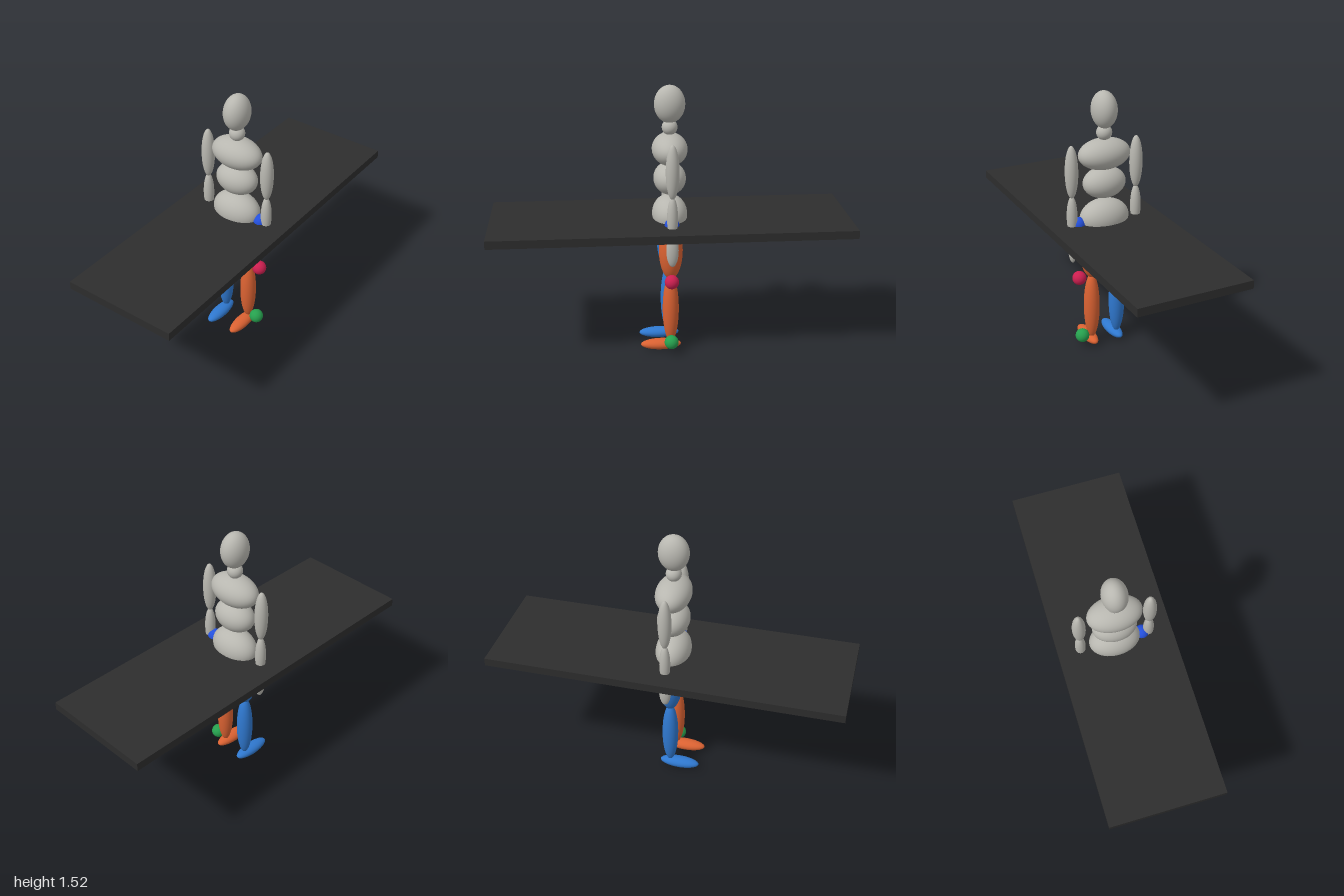
import * as THREE from 'three';

const mat = (name, color) => {
  const m = new THREE.MeshStandardMaterial({ color });
  m.name = name;
  return m;
};

export function createModel() {
  const grey = mat('bodyGrey', 0xb8b7b0);
  const blue = mat('rightLegBlue', 0x2f78cf);
  const orange = mat('leftLegOrange', 0xdb6232);
  const black = mat('boardBlack', 0x2d2d2d);
  const red = mat('kneeMarkerRed', 0xcc1f50);
  const green = mat('ankleMarkerGreen', 0x26a04e);
  const royal = mat('hipMarkerBlue', 0x2450dc);

  const model = new THREE.Group();
  model.name = 'mannequinWithBoard';
  const ball = new THREE.SphereGeometry(1, 40, 28);

  // Every body part is a ball stretched to its own three radii
  const ellipsoid = (parent, name, material, position, radii) => {
    const mesh = new THREE.Mesh(ball, material);
    mesh.name = name;
    mesh.position.set(...position);
    mesh.scale.set(...radii);
    parent.add(mesh);
  };

  // Head and torso
  const torso = new THREE.Group();
  torso.name = 'torso';
  model.add(torso);
  ellipsoid(torso, 'head', grey, [0, 1.418, 0], [0.07, 0.104, 0.085]);
  ellipsoid(torso, 'neck', grey, [0, 1.29, 0], [0.044, 0.043, 0.043]);
  ellipsoid(torso, 'chest', grey, [0, 1.168, 0], [0.152, 0.088, 0.098]);
  ellipsoid(torso, 'waist', grey, [0, 1.002, 0], [0.125, 0.089, 0.09]);
  ellipsoid(torso, 'pelvis', grey, [0, 0.796, 0], [0.145, 0.106, 0.098]);

  // Arms and legs, mirrored across x
  for (const [side, s, legColor] of [['left', 1, orange], ['right', -1, blue]]) {
    const arm = new THREE.Group();
    arm.name = side + 'Arm';
    const ax = s * 0.197;
    ellipsoid(arm, 'upperArm', grey, [ax, 1.09, 0], [0.037, 0.152, 0.037]);
    ellipsoid(arm, 'forearm', grey, [ax, 0.83, 0], [0.03, 0.122, 0.03]);
    ellipsoid(arm, 'hand', grey, [ax, 0.646, 0], [0.023, 0.095, 0.034]);

    const leg = new THREE.Group();
    leg.name = side + 'Leg';
    const lx = s * 0.08;
    ellipsoid(leg, 'thigh', legColor, [lx, 0.607, 0], [0.067, 0.173, 0.067]);
    ellipsoid(leg, 'shin', legColor, [lx, 0.25, 0], [0.046, 0.205, 0.046]);
    ellipsoid(leg, 'foot', legColor, [lx, 0.031, 0.056], [0.04, 0.031, 0.115]);
    model.add(arm, leg);
  }

  // Joint markers on the outside of the left leg
  const r = [0.04, 0.04, 0.04];
  ellipsoid(model, 'hipMarker', royal, [0.159, 0.779, 0], r);
  ellipsoid(model, 'kneeMarker', red, [0.157, 0.444, 0], r);
  ellipsoid(model, 'ankleMarker', green, [0.141, 0.067, 0], r);

  // Long flat board at hip height
  const board = new THREE.Mesh(new THREE.BoxGeometry(0.654, 0.046, 2), black);
  board.name = 'board';
  board.position.y = 0.755;
  model.add(board);

  return model;
}
